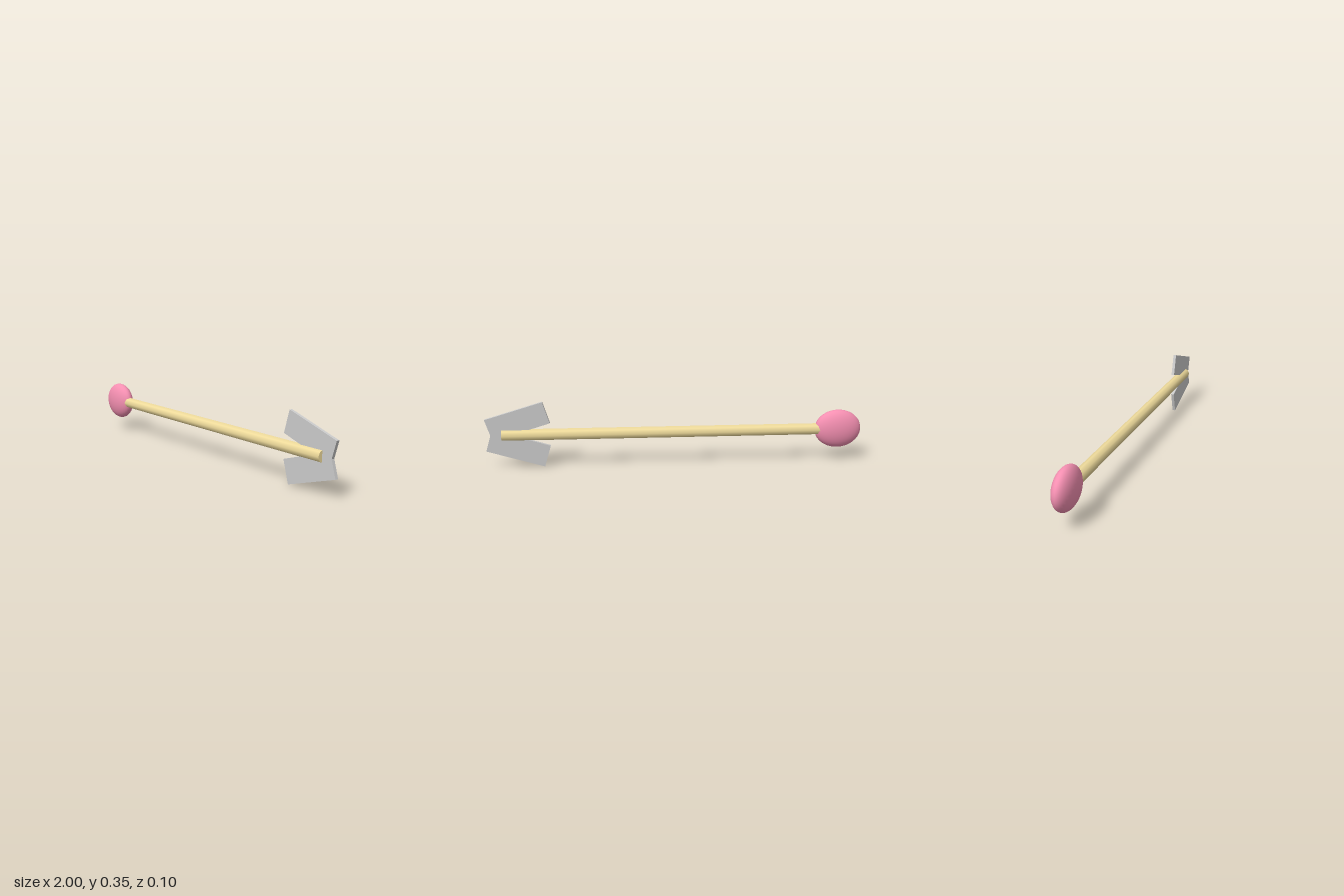
import * as THREE from 'three';

const AXIS_Y = 0.177; // height of the shaft's centre line

function addPart(group, name, geometry, color) {
  const mesh = new THREE.Mesh(geometry, new THREE.MeshStandardMaterial({ color }));
  mesh.name = name;
  mesh.position.y = AXIS_Y;
  group.add(mesh);
  return mesh;
}

export function createModel() {
  const group = new THREE.Group();
  group.name = 'arrow';

  // Flattened rounded tip
  const tip = addPart(group, 'tip', new THREE.SphereGeometry(1, 32, 20), 0xf48fb1);
  tip.scale.set(0.125, 0.104, 0.052);
  tip.position.x = -0.875;

  // Eight-sided shaft along x, starting inside the tip
  const start = -0.8, end = 0.915;
  const shaftGeometry = new THREE.CylinderGeometry(0.031, 0.031, end - start, 8);
  shaftGeometry.rotateZ(-Math.PI / 2);
  const shaft = addPart(group, 'shaft', shaftGeometry, 0xf0dc9c);
  shaft.position.x = (start + end) / 2;

  // Swept fletching plate: upper half outline, mirrored below the shaft
  const upper = [[0.865, 0], [0.662, 0.062], [0.697, 0.177], [1, 0.086]];
  const lower = upper.slice(1).reverse().map(([x, y]) => [x, -y]);
  const outline = [...upper, [0.973, 0], ...lower].map(([x, y]) => new THREE.Vector2(x, y));
  const thickness = 0.016;
  const fletchingGeometry = new THREE.ExtrudeGeometry(new THREE.Shape(outline), {
    depth: thickness,
    bevelEnabled: false,
  });
  fletchingGeometry.translate(0, 0, -thickness / 2);
  addPart(group, 'fletching', fletchingGeometry, 0xcccccc);

  return group;
}
